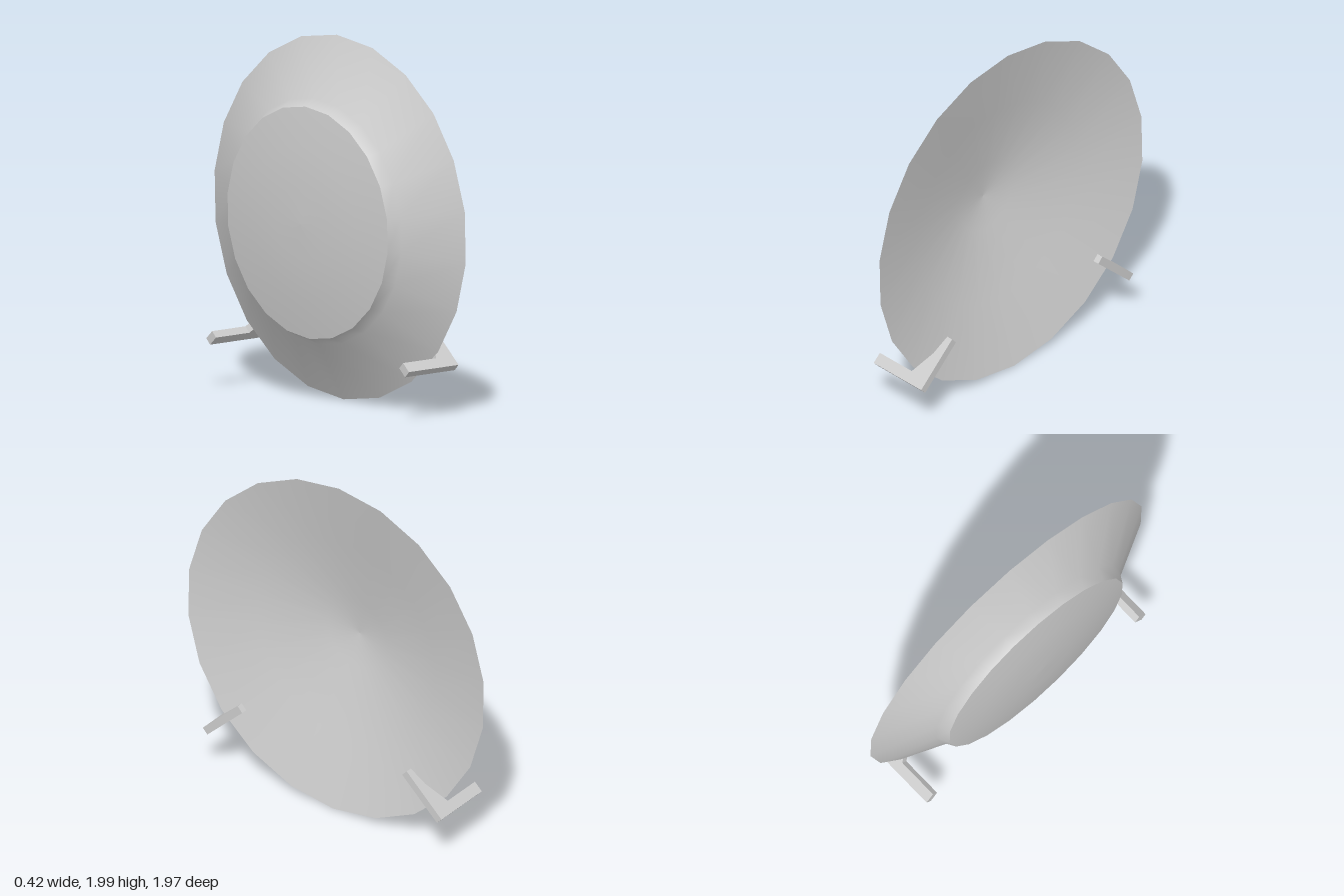
import * as THREE from 'three';

const SIDES = 22;
const TILT = 0.025; // the plate leans back slightly

export function createModel() {
  const model = new THREE.Group();
  const material = new THREE.MeshStandardMaterial({ color: 0xcccccc, side: THREE.DoubleSide });

  // Plate: three smooth surfaces of revolution that meet at sharp edges.
  // Profile points are [radius, height along the plate axis].
  const plate = new THREE.Group();
  plate.name = 'plate';
  const surfaces = {
    plateBase: [[0, -0.213], [0.2, -0.209], [0.42, -0.193], [0.635, -0.16]],
    plateWall: [[0.635, -0.16], [0.672, -0.093], [0.996, 0.08]],
    plateFace: [[0.996, 0.08], [0.6, -0.015], [0.2, -0.115], [0, -0.135]],
  };
  for (const [name, profile] of Object.entries(surfaces)) {
    const points = profile.map(([r, h]) => new THREE.Vector2(r, h));
    const mesh = new THREE.Mesh(new THREE.LatheGeometry(points, SIDES), material);
    mesh.name = name;
    // Turn the axis to +x with one corner of the rim at the top
    mesh.rotation.z = -Math.PI / 2;
    mesh.rotation.order = 'ZYX';
    mesh.rotation.y = Math.PI / 2;
    plate.add(mesh);
  }
  plate.rotation.z = TILT;
  plate.position.y = 1.002;
  model.add(plate);

  // Hooked brackets: L profile in (x, distance below the plate centre)
  const outline = [[-0.16, -1.077], [0.205, -1.077], [0.205, -0.757],
    [0.168, -0.757], [0.147, -0.87], [0.085, -1.013], [-0.16, -1.013]];
  const shape = new THREE.Shape(outline.map(([x, y]) => new THREE.Vector2(x, y)));
  const width = 0.044;
  const bracketGeometry = new THREE.ExtrudeGeometry(shape, { depth: width, bevelEnabled: false });
  bracketGeometry.translate(0, 0, -width / 2);
  for (const side of [-1, 1]) {
    const bracket = new THREE.Mesh(bracketGeometry, material);
    bracket.name = side > 0 ? 'frontBracket' : 'backBracket';
    bracket.rotation.x = -side * 0.815;
    bracket.position.y = 1;
    model.add(bracket);
  }
  return model;
}
